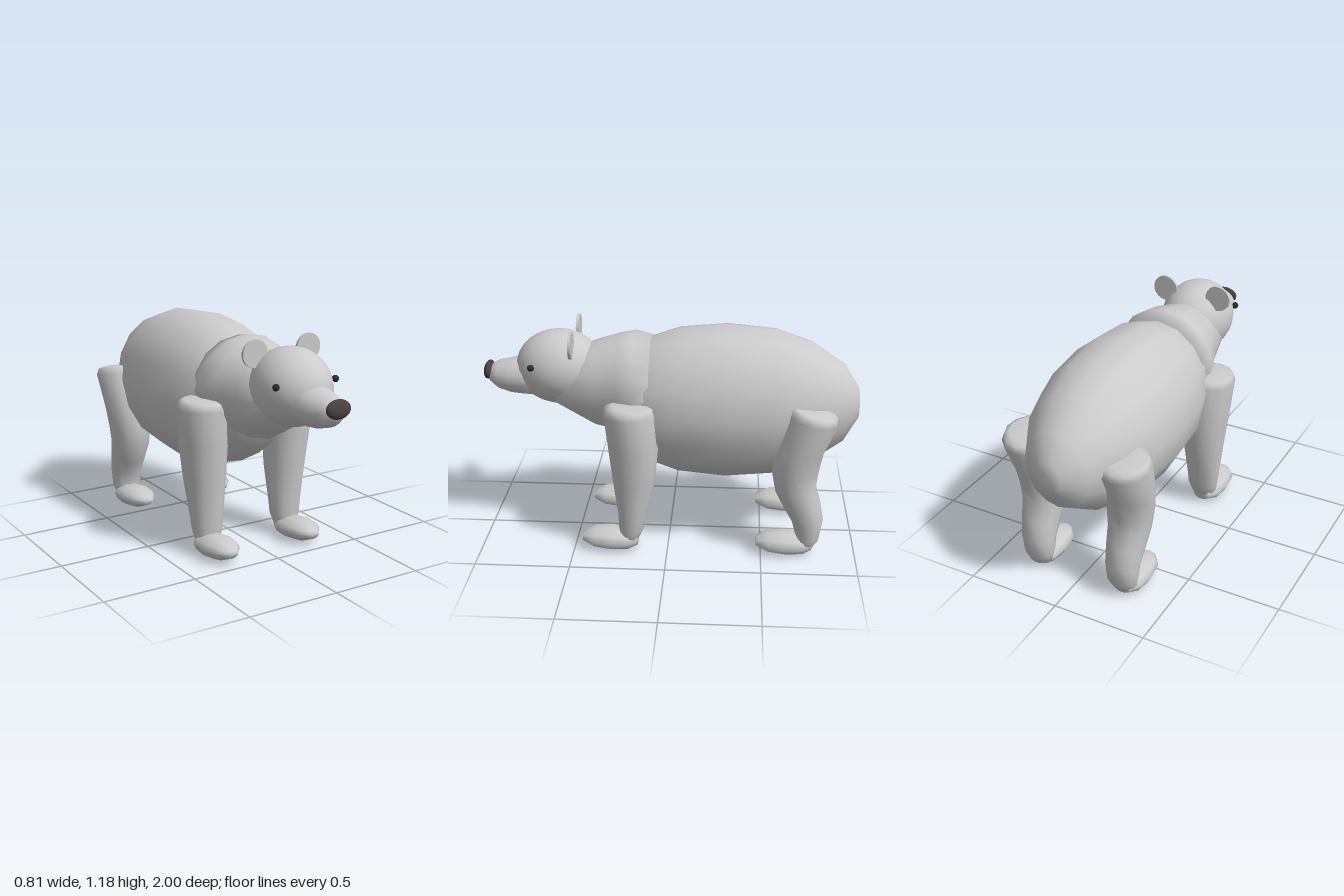
import * as THREE from 'three';

const grey = new THREE.MeshStandardMaterial({ color: 0xcccccc });
const noseMat = new THREE.MeshStandardMaterial({ color: 0x4a4042 });
const eyeMat = new THREE.MeshStandardMaterial({ color: 0x2e2c2e });

// Closed smooth skin over elliptical rings [x, y, z, rx, rv], each turned by
// an angle about x: 0 runs the skin along +z, PI/2 runs it down -y.
function loft(name, rings, sides, angle, material = grey) {
  const pos = [], idx = [], n = rings.length;
  rings.forEach(([x, y, z, rx, rv, turn = 0]) => {
    const a = angle + turn;
    for (let j = 0; j < sides; j++) {
      const t = (j / sides) * Math.PI * 2;
      const v = Math.sin(t) * rv;
      pos.push(x + Math.cos(t) * rx, y + v * Math.cos(a), z + v * Math.sin(a));
    }
  });
  pos.push(...rings[0].slice(0, 3), ...rings[n - 1].slice(0, 3));
  const start = n * sides, end = start + 1;
  for (let j = 0; j < sides; j++) {
    const k = (j + 1) % sides;
    for (let i = 0; i < n - 1; i++) {
      const p = i * sides, q = p + sides;
      idx.push(p + j, p + k, q + j, p + k, q + k, q + j);
    }
    idx.push(start, k, j, end, (n - 1) * sides + j, (n - 1) * sides + k);
  }
  const geo = new THREE.BufferGeometry();
  geo.setAttribute('position', new THREE.Float32BufferAttribute(pos, 3));
  geo.setIndex(idx);
  geo.computeVertexNormals();
  const mesh = new THREE.Mesh(geo, material);
  mesh.name = name;
  return mesh;
}

function ellipsoid(name, [x, y, z], [rx, ry, rz], material, w = 20, h = 14) {
  const mesh = new THREE.Mesh(new THREE.SphereGeometry(1, w, h), material);
  mesh.position.set(x, y, z);
  mesh.scale.set(rx, ry, rz);
  mesh.name = name;
  return mesh;
}

export function createModel() {
  const model = new THREE.Group();
  model.name = 'bear';

  // Barrel body, the same profile towards both ends
  const profile = [[-1, 0.2], [-0.89, 0.5], [-0.64, 0.785], [-0.36, 0.945], [0, 1],
    [0.36, 0.945], [0.64, 0.785], [0.89, 0.5], [1, 0.2]];
  model.add(loft('body', profile.map(([t, s]) =>
    [0, 0.773, -0.3 + t * 0.7, 0.36 * s, 0.416 * s]), 16, 0));

  // Neck
  model.add(loft('neck', [
    [0, 0.85, 0.1, 0.275, 0.27],
    [0, 0.865, 0.19, 0.282, 0.276],
    [0, 0.865, 0.27, 0.255, 0.262],
    [0, 0.86, 0.4, 0.205, 0.23],
    [0, 0.875, 0.6, 0.165, 0.13],
  ], 16, 0));

  // Head, muzzle and nose
  model.add(ellipsoid('head', [0, 0.947, 0.59], [0.197, 0.199, 0.232], grey, 24, 16));
  model.add(loft('muzzle', [
    [0, 0.895, 0.68, 0.122, 0.107],
    [0, 0.895, 0.78, 0.12, 0.105],
    [0, 0.89, 0.85, 0.108, 0.093],
    [0, 0.893, 0.92, 0.085, 0.075],
    [0, 0.9, 0.965, 0.05, 0.045],
  ], 20, 0));
  const nose = ellipsoid('nose', [0, 0.918, 0.972], [0.07, 0.048, 0.027], noseMat);
  nose.rotation.x = -0.12;
  model.add(nose);

  for (const s of [1, -1]) {
    const side = s > 0 ? 'left' : 'right';
    model.add(ellipsoid(side + 'Eye', [s * 0.175, 0.99, 0.715], [0.018, 0.018, 0.018], eyeMat, 12, 8));

    // Thin round ear
    const ear = new THREE.Mesh(new THREE.CylinderGeometry(0.071, 0.071, 0.015, 18), grey);
    ear.rotation.x = Math.PI / 2;
    ear.position.set(s * 0.159, 1.113, 0.505);
    ear.name = side + 'Ear';
    model.add(ear);

    // Straight front leg
    model.add(loft(side + 'FrontLeg', [
      [s * 0.275, 0.836, 0.195, 0.095, 0.095],
      [s * 0.27, 0.825, 0.195, 0.122, 0.126],
      [s * 0.265, 0.79, 0.195, 0.14, 0.139],
      [s * 0.26, 0.6, 0.18, 0.128, 0.132],
      [s * 0.252, 0.4, 0.178, 0.112, 0.113],
      [s * 0.248, 0.2, 0.19, 0.093, 0.075],
      [s * 0.247, 0.12, 0.195, 0.085, 0.068],
      [s * 0.25, 0.035, 0.205, 0.06, 0.04],
    ], 12, Math.PI / 2));

    // Hind leg with its hock bent backwards
    model.add(loft(side + 'HindLeg', [
      [s * 0.275, 0.828, -0.745, 0.095, 0.09, -0.2],
      [s * 0.27, 0.818, -0.75, 0.122, 0.12, -0.2],
      [s * 0.265, 0.785, -0.75, 0.14, 0.134, -0.2],
      [s * 0.26, 0.6, -0.685, 0.128, 0.125, -0.15],
      [s * 0.256, 0.48, -0.668, 0.118, 0.122],
      [s * 0.252, 0.38, -0.675, 0.11, 0.108, 0.2],
      [s * 0.25, 0.28, -0.715, 0.1, 0.096, 0.3],
      [s * 0.248, 0.19, -0.745, 0.09, 0.082, 0.1],
      [s * 0.248, 0.1, -0.745, 0.084, 0.065, -0.2],
      [s * 0.25, 0.035, -0.725, 0.06, 0.04, -0.3],
    ], 12, Math.PI / 2));

    // Paws
    for (const [name, z] of [['FrontPaw', 0], ['HindPaw', -0.93]]) {
      model.add(loft(side + name, [
        [s * 0.255, 0.06, z + 0.16, 0.05, 0.035],
        [s * 0.255, 0.058, z + 0.21, 0.084, 0.053],
        [s * 0.255, 0.064, z + 0.3, 0.098, 0.06],
        [s * 0.255, 0.068, z + 0.39, 0.088, 0.052],
        [s * 0.255, 0.067, z + 0.455, 0.04, 0.022],
      ], 10, 0));
    }
  }
  return model;
}
